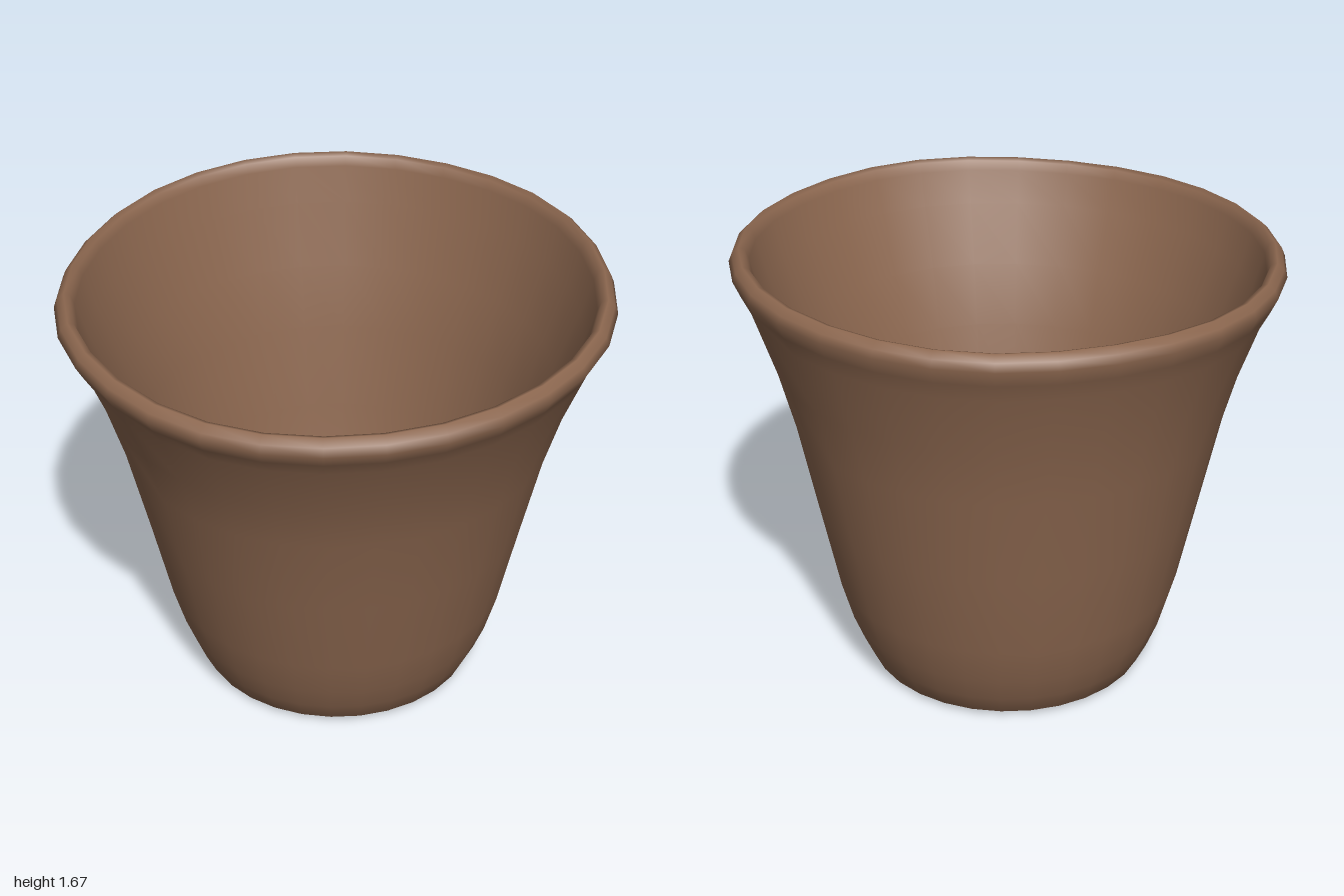
import * as THREE from 'three';
import { mergeVertices } from 'three/addons/utils/BufferGeometryUtils.js';

const SIDES = 30;

// Closed section [radius, height]: underside, outer wall, rolled lip, inner wall, floor, drain hole
const section = [
  [0.038, 0.03], [0.1, 0.006], [0.35, 0.002], [0.5, 0.012], [0.522, 0.022],
  [0.56, 0.1], [0.6, 0.2], [0.643, 0.35], [0.715, 0.68], [0.79, 1.02], [0.85, 1.23], [0.935, 1.46],
  [0.97, 1.525], [0.997, 1.58], [0.985, 1.61], [0.96, 1.633], [0.938, 1.625], [0.924, 1.59],
  [0.885, 1.46], [0.8, 1.23], [0.73, 1.0], [0.655, 0.68], [0.58, 0.35], [0.53, 0.2],
  [0.46, 0.115], [0.4, 0.1], [0.25, 0.095], [0.09, 0.09], [0.038, 0.07], [0.038, 0.03],
];

// Hand-made look: the base sits off centre, the rim is tilted and slightly uneven
function handShape(geometry) {
  const p = geometry.attributes.position;
  for (let i = 0; i < p.count; i++) {
    let x = p.getX(i), y = p.getY(i), z = p.getZ(i);
    const r = Math.hypot(x, z), a = Math.atan2(z, x);
    const up = Math.min(y / 1.58, 1);
    const wobble = 1 + 0.004 * up * Math.sin(5 * a + 1) * Math.sin(2 * a);
    const lean = -0.045 * (1 - up * up);
    // Rings of the floor slide towards the off-centre drain hole
    const toHole = y < 0.12 ? THREE.MathUtils.clamp((0.46 - r) / 0.42, 0, 1) : 0;
    const tilt = up ** 3;
    p.setXYZ(
      i,
      x * wobble + THREE.MathUtils.lerp(lean, -0.178, toHole),
      y + tilt * (-0.024 * x - 0.037 * z + 0.004 * Math.sin(4 * a + 0.6)),
      z * wobble + THREE.MathUtils.lerp(lean, 0.025, toHole) - 0.004 * tilt,
    );
  }
}

export function createModel() {
  const clay = new THREE.MeshStandardMaterial({ color: 0x8c674f });
  clay.name = 'brown clay';

  let geometry = new THREE.LatheGeometry(section.map(([r, y]) => new THREE.Vector2(r, y)), SIDES);
  // Weld the seam so the shading is smooth all round
  geometry.deleteAttribute('uv');
  geometry.deleteAttribute('normal');
  geometry = mergeVertices(geometry, 1e-4);
  handShape(geometry);
  geometry.computeVertexNormals();

  const pot = new THREE.Mesh(geometry, clay);
  pot.name = 'pot';

  const group = new THREE.Group();
  group.name = 'flowerPot';
  group.add(pot);
  return group;
}
